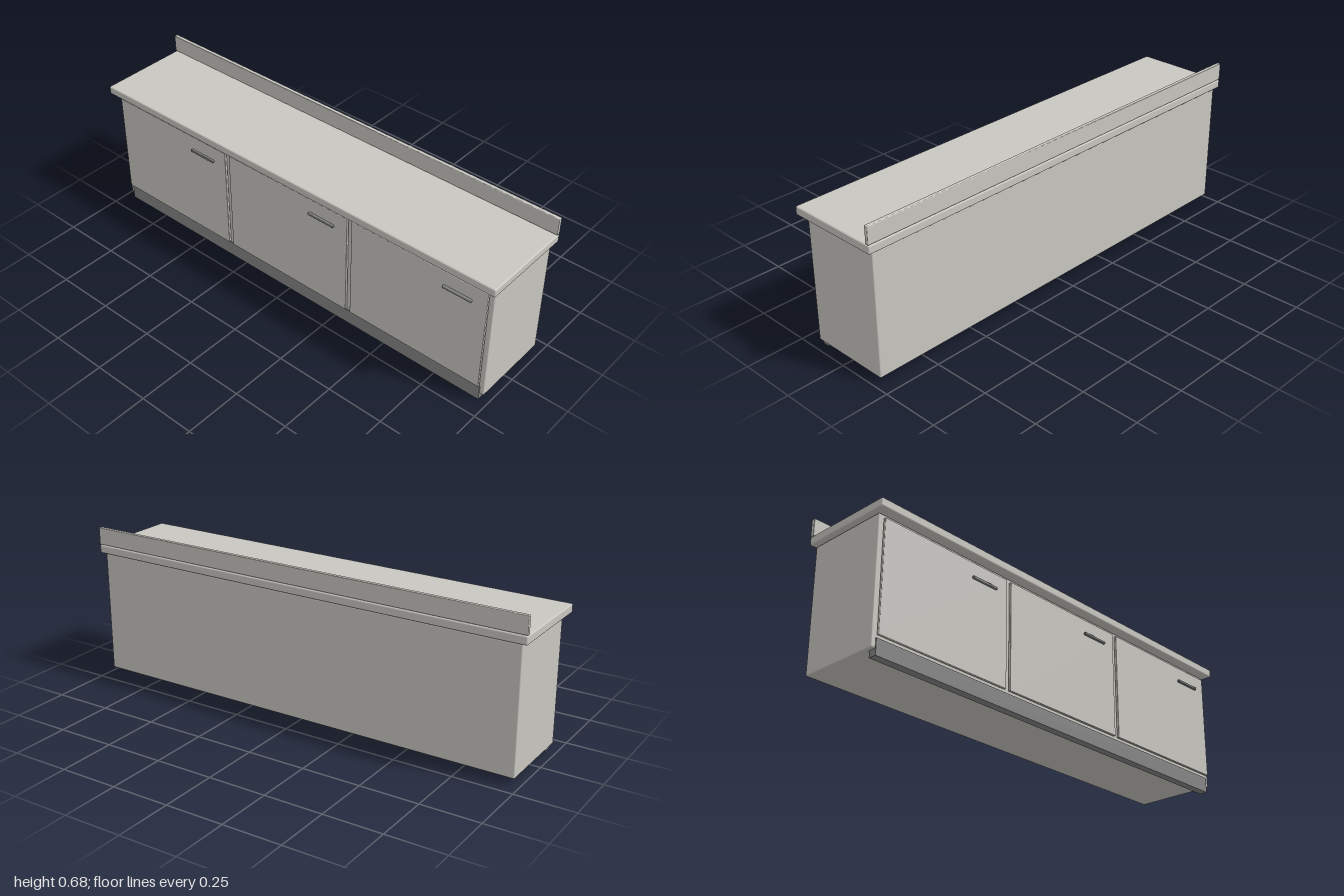
import * as THREE from 'three';
import { RoundedBoxGeometry } from 'three/addons/geometries/RoundedBoxGeometry.js';

export function createModel() {
  const group = new THREE.Group();
  group.name = 'baseCabinet';

  const panel = new THREE.MeshStandardMaterial({ color: 0xc8c6c0 });
  panel.name = 'warm grey panel';
  const dark = new THREE.MeshStandardMaterial({ color: 0x848484 });
  dark.name = 'dark grey trim';

  // Box given by its x, y and z ranges; radius 0 keeps sharp edges
  function addBox(name, material, [x0, x1], [y0, y1], [z0, z1], radius = 0) {
    const size = [x1 - x0, y1 - y0, z1 - z0];
    const geometry = radius
      ? new RoundedBoxGeometry(...size, 3, radius)
      : new THREE.BoxGeometry(...size);
    const mesh = new THREE.Mesh(geometry, material);
    mesh.name = name;
    mesh.position.set((x0 + x1) / 2, (y0 + y1) / 2, (z0 + z1) / 2);
    group.add(mesh);
  }

  // Carcass, worktop, upstand and recessed kickboard
  addBox('carcass', panel, [-0.978, 0.978], [0.028, 0.56], [-0.193, 0.166], 0.005);
  addBox('worktop', panel, [-1, 1], [0.563, 0.599], [-0.206, 0.206], 0.006);
  addBox('backsplash', panel, [-1, 1], [0.601, 0.676], [-0.205, -0.188], 0.003);
  addBox('kickboard', dark, [-0.96, 0.96], [0, 0.067], [0.135, 0.17]);

  // Three doors, each with a bar handle near its upper right corner
  ['right', 'middle', 'left'].forEach((side, i) => {
    const x = (i - 1) * 0.647;
    addBox(`${side}Door`, panel, [x - 0.313, x + 0.313], [0.076, 0.541], [0.17, 0.182], 0.003);
    addBox(`${side}Handle`, dark, [x + 0.122, x + 0.25], [0.469, 0.48], [0.181, 0.193], 0.003);
  });

  return group;
}
